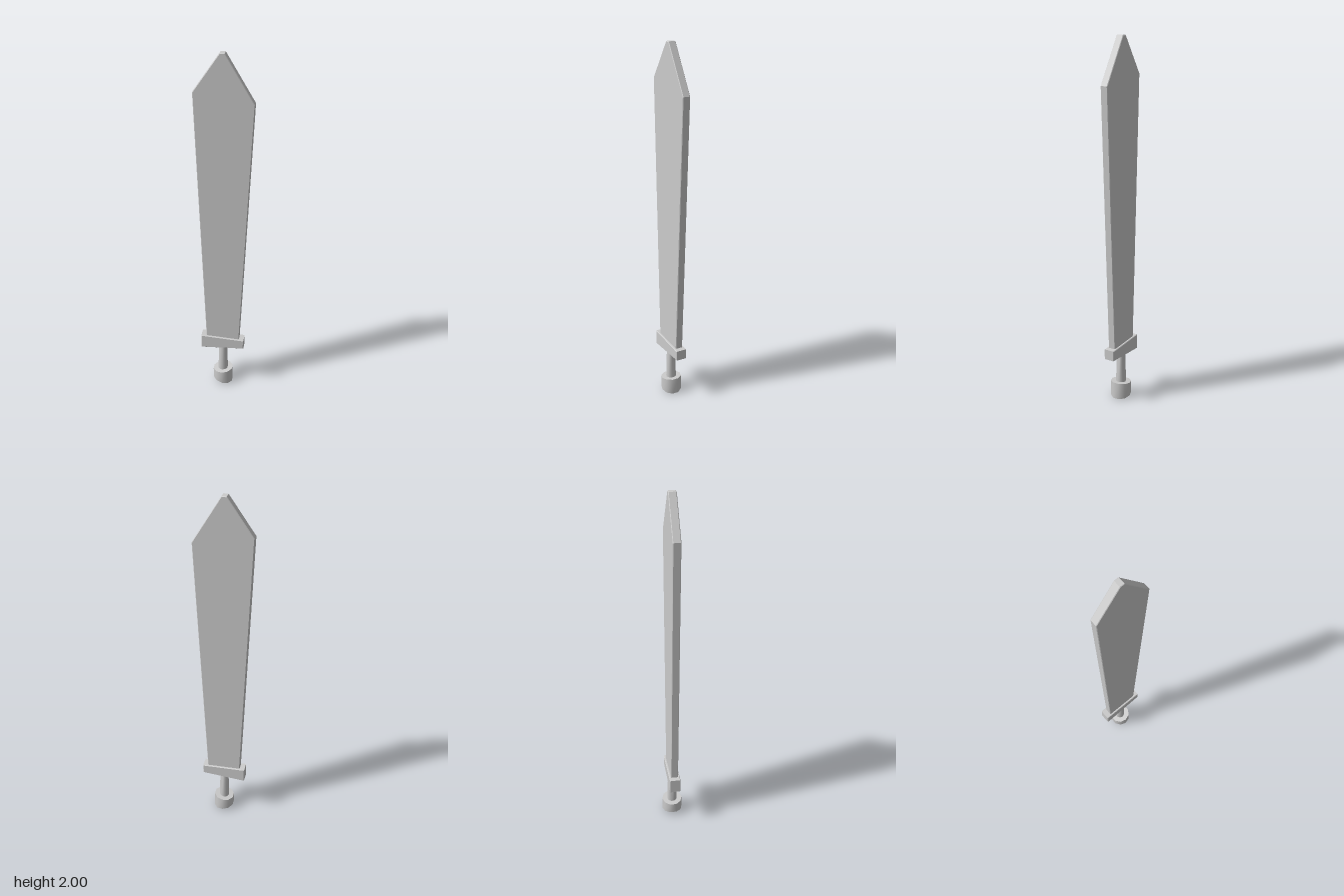
import * as THREE from 'three';
import { toCreasedNormals } from 'three/addons/utils/BufferGeometryUtils.js';

const SIDES = 10;
const AXIS_X = -0.006;
const AXIS_Z = -0.0015;

export function createModel() {
  const model = new THREE.Group();
  model.name = 'sword';
  const material = new THREE.MeshStandardMaterial({ color: 0xcccccc });

  function add(name, geometry) {
    const mesh = new THREE.Mesh(geometry, material);
    mesh.name = name;
    model.add(mesh);
  }

  // Flat outline given a thickness in z, with a tiny bevel inside the outline
  function plate(name, points, thickness) {
    const bevel = 0.003;
    const shape = new THREE.Shape(points.map(([x, y]) => new THREE.Vector2(x, y)));
    const geometry = new THREE.ExtrudeGeometry(shape, {
      depth: thickness - 2 * bevel,
      bevelEnabled: true,
      bevelThickness: bevel,
      bevelSize: bevel,
      bevelOffset: -bevel,
      bevelSegments: 1,
    });
    geometry.translate(0, 0, AXIS_Z - thickness / 2 + bevel);
    add(name, geometry);
  }

  // Round part whose ends may slope: y = height + slope * x
  function round(name, topRadius, bottomRadius, top, bottom) {
    const geometry = new THREE.CylinderGeometry(topRadius, bottomRadius, 1, SIDES);
    const position = geometry.attributes.position;
    for (let i = 0; i < position.count; i++) {
      const end = position.getY(i) > 0 ? top : bottom;
      position.setY(i, end.height + end.slope * position.getX(i));
    }
    geometry.translate(AXIS_X, 0, AXIS_Z);
    add(name, toCreasedNormals(geometry, 0.8));
  }

  // Broad blade, widening to uneven shoulders and a blunt tip
  plate('blade', [
    [-0.1, 0.3], [0.088, 0.3], [0.153, 1.755], [0.005, 2], [-0.02, 2], [-0.155, 1.805],
  ], 0.041);

  // Cross guard, taller on one side
  plate('guard', [
    [-0.131, 0.251], [0.117, 0.267], [0.117, 0.325], [-0.131, 0.337],
  ], 0.061);

  // Tapered grip
  round('grip', 0.024, 0.029, { height: 0.28, slope: 0 }, { height: 0.07, slope: 0 });

  // Pommel with sloping ends
  round('pommel', 0.058, 0.058, { height: 0.092, slope: 0.1 }, { height: 0.013, slope: -0.2 });

  return model;
}
